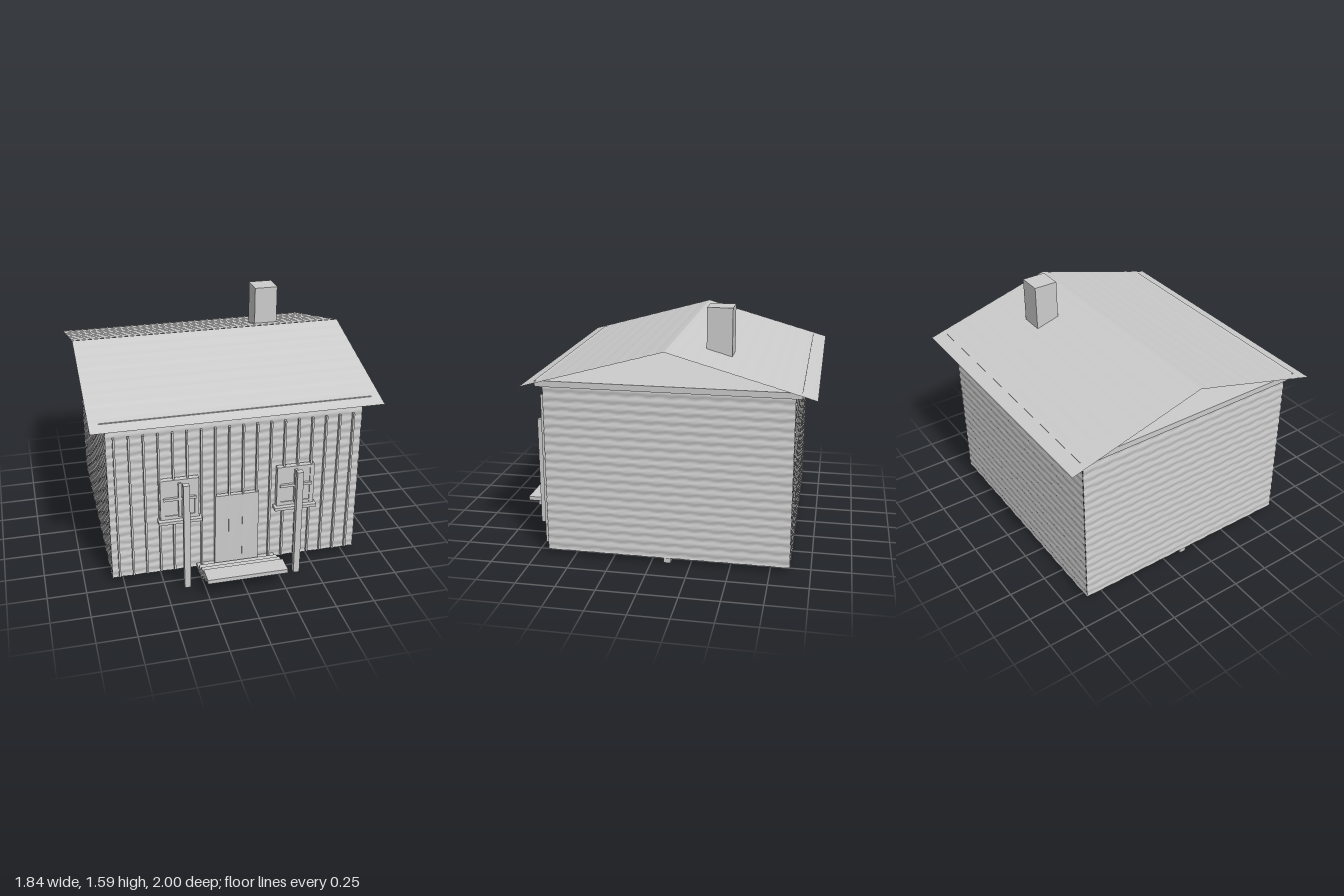
import * as THREE from 'three';

export function createModel() {
  const model = new THREE.Group();
  const grey = new THREE.MeshStandardMaterial({ color: 0xcccccc });
  grey.name = 'plainGrey';
  grey.side = THREE.DoubleSide;

  function add(name, geometry, parent = model) {
    const mesh = new THREE.Mesh(geometry, grey);
    mesh.name = name;
    parent.add(mesh);
    return mesh;
  }
  // Box given by its limits on each axis
  function box(name, x0, x1, y0, y1, z0, z1, parent) {
    const g = new THREE.BoxGeometry(x1 - x0, y1 - y0, z1 - z0);
    g.translate((x0 + x1) / 2, (y0 + y1) / 2, (z0 + z1) / 2);
    return add(name, g, parent);
  }
  function group(name) {
    const g = new THREE.Group();
    g.name = name;
    model.add(g);
    return g;
  }

  // Rippled timber walls: open sheets, hollow underneath
  const halfX = 0.822, zFront = 0.675, zBack = -0.872, base = 0.035, top = 1.13;
  function wall(name, width, x, z, turn) {
    const h = top - base;
    const g = new THREE.PlaneGeometry(width, h, Math.round(width / 0.03), 112);
    const p = g.attributes.position;
    for (let i = 0; i < p.count; i++) {
      const u = p.getX(i), v = p.getY(i);
      const row = Math.floor((v + h / 2) / 0.057);
      const stagger = Math.sin(u * 2 * Math.PI / 0.14 + row * 2.1);
      p.setZ(i, 0.003 * Math.sin(v * 2 * Math.PI / 0.057 + 0.7 * stagger));
    }
    g.computeVertexNormals();
    g.rotateY(turn);
    g.translate(x, (base + top) / 2, z);
    add(name, g);
  }
  const midZ = (zFront + zBack) / 2, depth = zFront - zBack;
  wall('frontWall', halfX * 2, 0, zFront, 0);
  wall('backWall', halfX * 2, 0, zBack, Math.PI);
  wall('leftWall', depth, halfX, midZ, Math.PI / 2);
  wall('rightWall', depth, -halfX, midZ, -Math.PI / 2);

  // Ceiling slab under the open gables
  box('ceilingSlab', -0.86, 0.86, 1.127, 1.165, -0.91, 0.71);

  // Roof: two thin slopes with slightly uneven courses
  function roofSlope(name, zEave, flip) {
    const rows = 28, ridgeZ = -0.105;
    const g = new THREE.PlaneGeometry(1.84, 1, 1, rows);
    const p = g.attributes.position;
    for (let i = 0; i < p.count; i++) {
      const t = 0.5 - p.getY(i); // 0 at the ridge, 1 at the eave
      const k = Math.round(t * rows);
      const edge = k === 0 || k === rows;
      const lift = edge ? 0 : 0.0009 * Math.sin(k * 2.3);
      p.setXYZ(i, p.getX(i) * flip, 1.387 - 0.25 * t + lift, ridgeZ + (zEave - ridgeZ) * t);
    }
    add(name, g.toNonIndexed()).geometry.computeVertexNormals();
  }
  roofSlope('frontRoofSlope', 0.79, 1);
  roofSlope('backRoofSlope', -1, -1);

  box('chimney', 0.38, 0.54, 1.25, 1.59, -0.46, -0.3);

  // Foundation poles running up inside the side walls
  for (const s of [-1, 1]) {
    const x = s * 0.795;
    box('foundationPole', x - 0.022, x + 0.022, 0, 1.125, -0.125, -0.08);
  }

  // Vertical battens on the front wall
  const battens = group('battens');
  for (let i = 0; i < 18; i++) {
    const x = -0.775 + i * 0.09;
    box('batten', x - 0.006, x + 0.006, 0.055, 1.05, 0.686, 0.71, battens);
  }

  // Plank door
  const door = group('door');
  const seams = [-0.15, -0.06, 0.03, 0.14];
  for (let i = 0; i < 3; i++) {
    box('doorPlank', seams[i] + 0.001, seams[i + 1] - 0.001, 0.055, 0.57, 0.683, 0.713, door);
  }

  // Two four-light windows with sills
  for (const x of [-0.38, 0.38]) {
    const w = group('window');
    box('windowPane', x - 0.105, x + 0.105, 0.47, 0.71, 0.69, 0.715, w);
    for (const s of [-1, 1]) {
      box('windowJamb', x + s * 0.11 - 0.014, x + s * 0.11 + 0.014, 0.45, 0.73, 0.685, 0.722, w);
    }
    box('windowHead', x - 0.124, x + 0.124, 0.706, 0.73, 0.685, 0.721, w);
    box('windowFoot', x - 0.124, x + 0.124, 0.45, 0.475, 0.685, 0.721, w);
    box('windowMullion', x - 0.01, x + 0.01, 0.47, 0.71, 0.7, 0.735, w);
    box('windowTransom', x - 0.105, x + 0.105, 0.588, 0.606, 0.7, 0.732, w);
    box('windowSill', x - 0.14, x + 0.14, 0.425, 0.446, 0.685, 0.745, w);
  }

  // Porch posts
  for (const x of [-0.365, 0.36]) {
    box('porchPost', x - 0.02, x + 0.02, 0.02, 0.765, 0.832, 0.87);
  }

  // Stepped porch boards
  const steps = group('porchSteps');
  for (let i = 0; i < 4; i++) {
    const y = 0.03 + i * 0.03, z = 0.67 + i * 0.07;
    box('porchStep', -0.265, 0.258, y, y + 0.0275, z, z + 0.12, steps);
  }
  return model;
}
